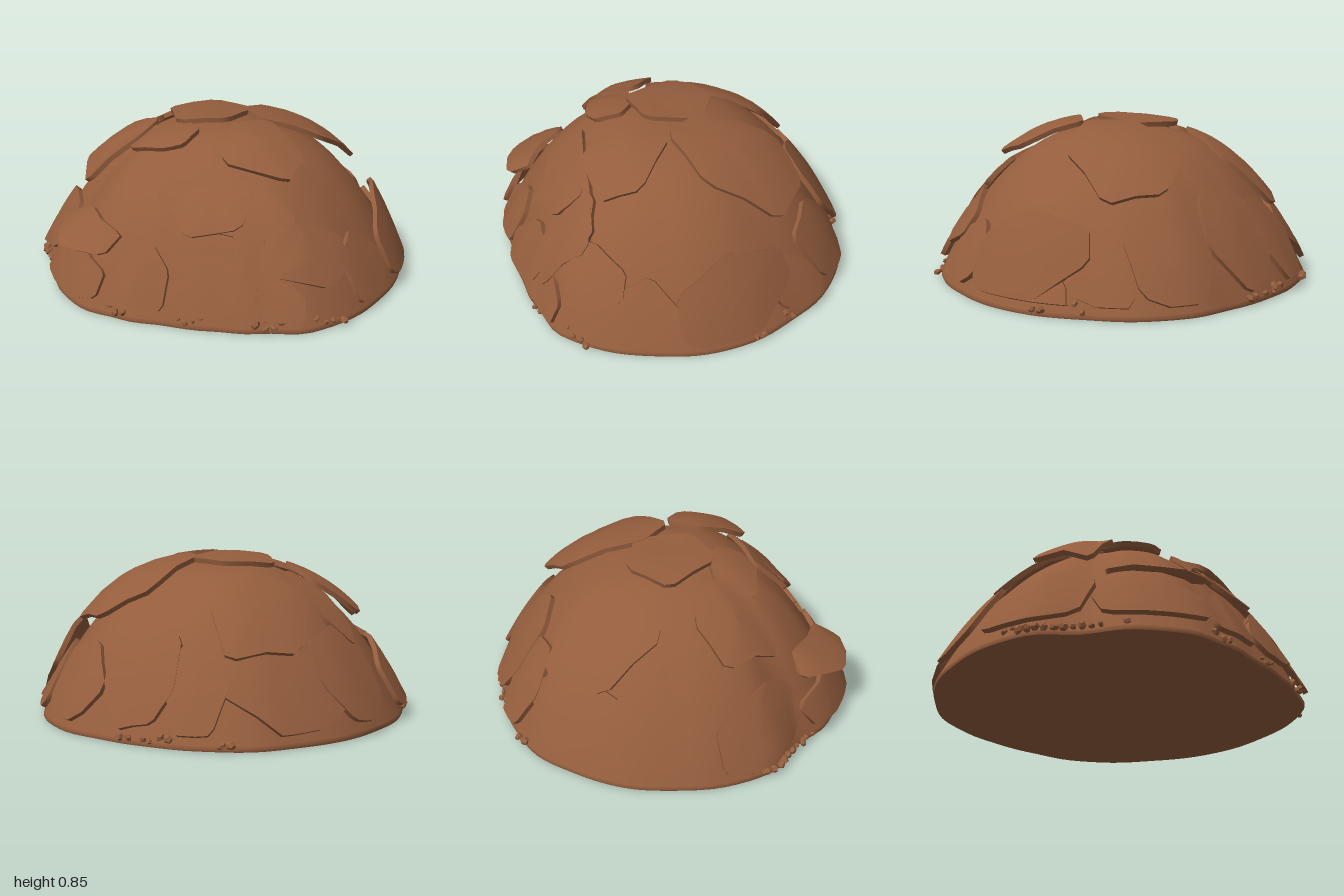
import * as THREE from 'three';

// Outline radius of the mound every 15 degrees, from +x towards +z
const OUTLINE = [.97, .98, .98, .91, .87, .86, .9, .95, .95, .91, .98, .98,
  .97, .98, .98, 1, .98, .96, .96, .99, .99, .97, .98, .98];
const POWER = 2.65, RIM = 0.025, RISE = 0.77;

function outline(angle) {
  const n = OUTLINE.length;
  const f = ((angle / (2 * Math.PI)) % 1 + 1) % 1 * n;
  const i = Math.floor(f), t = f - i, k = t * t * (3 - 2 * t);
  return OUTLINE[i % n] * (1 - k) + OUTLINE[(i + 1) % n] * k;
}

// Small repeatable random numbers
function seeded(seed) {
  let s = seed * 7919 + 17;
  return () => (s = (s * 16807) % 2147483647) / 2147483647;
}

// Height of the mound above a ground position
function height(x, z) {
  const s = Math.min(Math.hypot(x, z) / outline(Math.atan2(z, x)), 1);
  const bump = 0.015 * Math.sin(5 * x + 1) * Math.sin(6 * z + 0.5) * (1 - s);
  return RIM + RISE * (1 - Math.pow(s, POWER)) + bump;
}

function normalAt(x, z) {
  const e = 0.02;
  return new THREE.Vector3(height(x - e, z) - height(x + e, z), 2 * e,
    height(x, z - e) - height(x, z + e)).normalize();
}

// Project flat coordinates onto the mound: top uses (x, z), the sides use (across, y)
const SIDES = { front: [1, false], back: [-1, false], plusX: [1, true], minusX: [-1, true] };
function project(side, a, b) {
  let x = a, z = b;
  if (side !== 'top') {
    const [sign, alongX] = SIDES[side];
    const s = Math.pow(Math.min(1, Math.max(0, 1 - (b - RIM) / RISE)), 1 / POWER);
    const place = d => (alongX ? [sign * d, a] : [a, sign * d]);
    let d = 0.8;
    for (let i = 0; i < 12; i++) {
      [x, z] = place(d);
      const r = s * outline(Math.atan2(z, x));
      d = Math.sqrt(Math.max(r * r - a * a, 0.0004));
    }
    [x, z] = place(d);
  }
  const limit = 0.985 * outline(Math.atan2(z, x)) / Math.max(Math.hypot(x, z), 1e-6);
  if (limit < 1) { x *= limit; z *= limit; }
  return new THREE.Vector3(x, height(x, z), z);
}

// Join loops of points into a smooth skin
function skin(loops, flip = false) {
  const n = loops[0].length, pos = [], index = [];
  loops.forEach(loop => loop.forEach(p => pos.push(p.x, p.y, p.z)));
  for (let j = 0; j + 1 < loops.length; j++) {
    for (let i = 0; i < n; i++) {
      const a = j * n + i, b = j * n + (i + 1) % n, c = a + n, d = b + n;
      if (flip) index.push(a, b, c, b, d, c);
      else index.push(a, c, b, b, c, d);
    }
  }
  const g = new THREE.BufferGeometry();
  g.setAttribute('position', new THREE.Float32BufferAttribute(pos, 3));
  g.setIndex(index);
  g.computeVertexNormals();
  return g;
}

// Irregular five to seven sided outline with cut corners, about one unit in radius
function brokenOutline(random) {
  const n = 5 + Math.floor(random() * 3);
  const corners = Array.from({ length: n }, (_, i) => {
    const a = (i + 0.5 + 0.35 * (random() - 0.5)) / n * 2 * Math.PI, r = 1 + 0.2 * random();
    return [r * Math.cos(a), r * Math.sin(a)];
  });
  return corners.flatMap((p, i) => {
    const q = corners[(i + 1) % n];
    return [0.12, 0.5, 0.88].map(t => [p[0] + (q[0] - p[0]) * t, p[1] + (q[1] - p[1]) * t]);
  });
}

// Curved slab following the mound; tilt raises its lower edge
function slab(side, [a, b, halfWide, halfTall, lift = 0.005, tilt = 0.015], random) {
  const shape = brokenOutline(random);
  const loops = [0, 0.3, 0.55, 0.8, 1].map(k =>
    shape.map(([u, v]) => project(side, a + u * halfWide * k, b + v * halfTall * k)));
  const rim = loops[4], centre = loops[0][0];
  const radii = rim.map(p => Math.hypot(p.x, p.z));
  const r0 = Math.min(...radii), r1 = Math.max(...radii);
  const raise = extra => loops.map(loop => loop.map(p => {
    const t = (Math.hypot(p.x, p.z) - r0) / (r1 - r0);
    const q = p.clone().addScaledVector(normalAt(p.x, p.z), lift + tilt * t + extra);
    q.y = Math.max(q.y, 0.015);
    return q;
  }));
  const top = raise(0.026), bottom = raise(0);
  // Find which way round the outline runs
  const turn = new THREE.Vector3();
  rim.forEach((p, i) => turn.add(p.clone().sub(centre).cross(rim[(i + 1) % rim.length].clone().sub(centre))));
  const flip = turn.dot(normalAt(centre.x, centre.z)) < 0;
  return { slabTop: skin(top, flip), slabUnderside: skin(bottom, !flip), slabEdge: skin([top[4], bottom[4]], flip) };
}

// Centre, half width, half height, then lift and tilt where they differ
const SLABS = {
  top: [
    [-.09, -.03, .23, .21, .02, .015], [-.47, -.32, .2, .27, .01, .025], [.24, -.36, .24, .29, .025, .04],
    [.35, .17, .17, .2, .03, .04], [-.45, .28, .18, .19, .03, .03], [-.15, .3, .18, .12, .005, .02],
    [-.56, .04, .19, .1, .01, .015], [.54, .46, .15, .16],
    [.81, -.56, .11, .11], [-.13, -.78, .18, .14], [-.42, -.74, .14, .12],
  ],
  front: [
    [.27, .5, .18, .11, 0, .03], [-.28, .33, .2, .1, 0, .13], [.4, .19, .2, .16],
    [.04, .17, .16, .16], [-.34, .15, .22, .13, .03, 0],
  ],
  plusX: [
    [.35, .31, .19, .13], [.46, .53, .15, .14, 0], [.05, .18, .17, .18, 0, .01],
    [-.36, .21, .25, .19, .06, -.04], [.6, .18, .11, .15],
  ],
  minusX: [[-.1, .28, .2, .23, .015, .005], [.4, .2, .2, .18, .015, .005], [-.46, .24, .24, .22, .005, .01]],
  back: [[.27, .22, .19, .21, 0, .005], [.58, .18, .11, .17, 0]],
};

// Pebble clusters: direction in degrees from +x towards +z, and count
const CLUSTERS = [[24, 4], [42, 4], [67, 4], [92, 3], [122, 1], [137, 7], [152, 5],
  [232, 2], [252, 4], [262, 2], [316, 2], [328, 2]];

export function createModel() {
  const group = new THREE.Group();
  const earth = new THREE.MeshStandardMaterial({ color: 0x945d3d });
  earth.name = 'reddish brown earth';
  const add = (name, geometry, parent = group) => {
    const mesh = new THREE.Mesh(geometry, earth);
    mesh.name = name;
    parent.add(mesh);
    return mesh;
  };

  // Mound and its flat underside
  const ring = (s, y) => Array.from({ length: 96 }, (_, i) => {
    const a = i / 96 * 2 * Math.PI, r = s * outline(a);
    const x = r * Math.cos(a), z = r * Math.sin(a);
    return new THREE.Vector3(x, y ?? height(x, z), z);
  });
  add('mound', skin(Array.from({ length: 29 }, (_, i) => ring(i / 28)), true));
  add('moundRim', skin([ring(1), ring(1.005, 0.012), ring(1, 0)], true));
  add('underside', skin([ring(0, 0), ring(1, 0)]));

  // Overlapping rock slabs
  const random = seeded(5);
  for (const [side, list] of Object.entries(SLABS)) {
    list.forEach((spec, i) => {
      const rock = new THREE.Group();
      rock.name = `${side}Slab${i + 1}`;
      group.add(rock);
      for (const [name, geometry] of Object.entries(slab(side, spec, random))) add(name, geometry, rock);
    });
  }

  // Loose pebbles around the foot
  for (const [degrees, count] of CLUSTERS) {
    for (let i = 0; i < count; i++) {
      const a = THREE.MathUtils.degToRad(degrees + (i - (count - 1) / 2) * 2.6);
      const r = outline(a) * (0.98 + 0.05 * random());
      const x = r * Math.cos(a), z = r * Math.sin(a);
      const pebble = add('pebble', new THREE.DodecahedronGeometry(0.014 + 0.01 * random()));
      pebble.position.set(x, Math.max(0.035, height(x, z) + 0.005), z);
      pebble.rotation.set(random() * 6, random() * 6, random() * 6);
      pebble.scale.set(1, 0.8, 1.15);
    }
  }
  return group;
}
